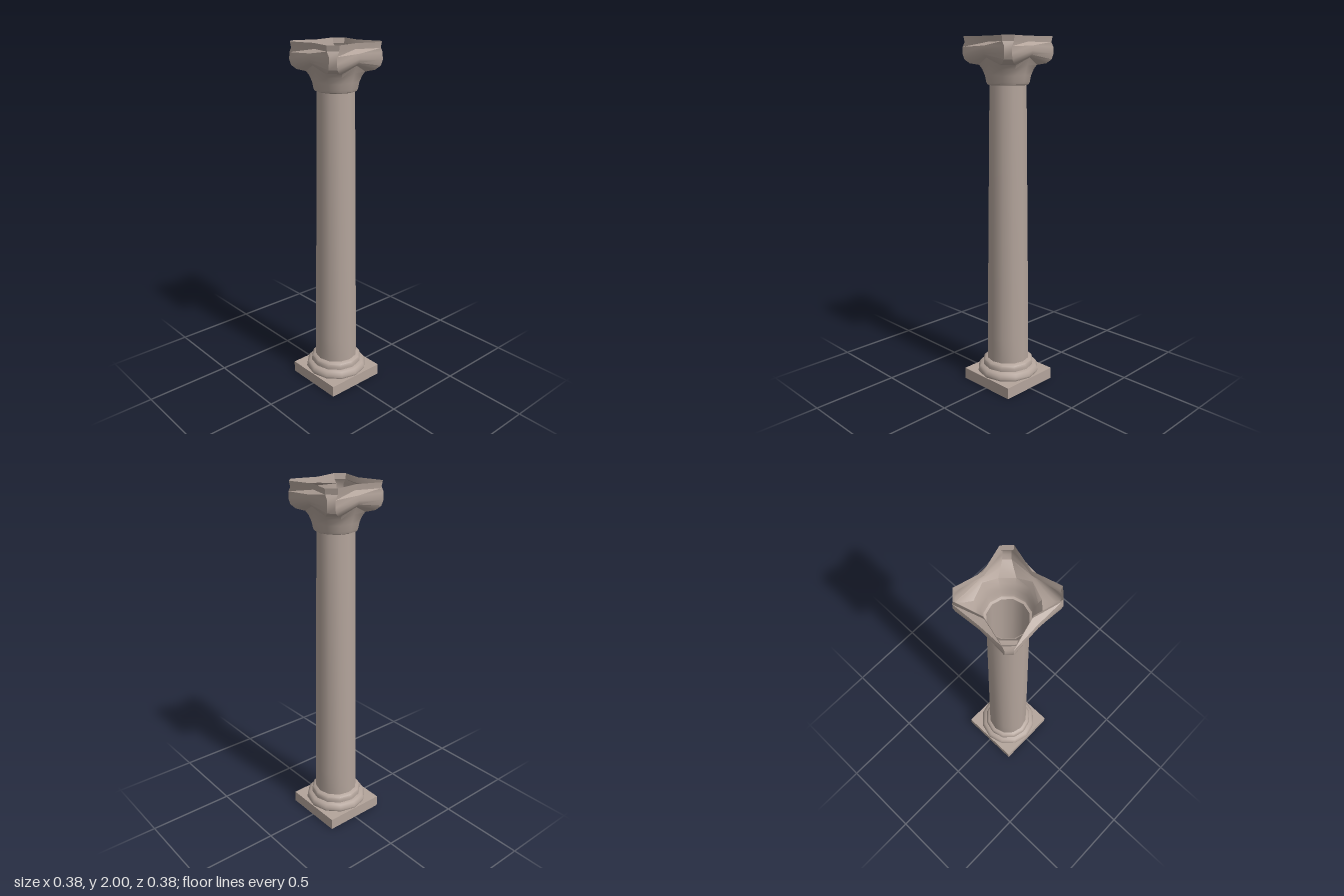
import * as THREE from 'three';
import { toCreasedNormals } from 'three/addons/utils/BufferGeometryUtils.js';

const SIDES = 12;
const CREASE = 0.66;

export function createModel() {
  const stone = new THREE.MeshStandardMaterial({ color: 0xb3a49b, side: THREE.DoubleSide });
  stone.name = 'warm grey stone';
  const column = new THREE.Group();
  column.name = 'column';

  const add = (name, geometry, crease = CREASE) => {
    const mesh = new THREE.Mesh(toCreasedNormals(geometry, crease), stone);
    mesh.name = name;
    column.add(mesh);
  };
  const lathe = (profile) =>
    new THREE.LatheGeometry(profile.map(([r, y]) => new THREE.Vector2(r, y)), SIDES);

  // Square plinth, open underneath, with a round opening in its top
  const half = 0.183, plinthTop = 0.066;
  const walls = new THREE.CylinderGeometry(half * Math.SQRT2, half * Math.SQRT2, plinthTop, 4, 1, true, Math.PI / 4);
  walls.translate(0, plinthTop / 2, 0);
  add('plinthWalls', walls);

  const top = new THREE.Shape([[-1, -1], [1, -1], [1, 1], [-1, 1]].map(([x, y]) => new THREE.Vector2(x * half, y * half)));
  const hole = [];
  for (let i = 0; i < SIDES; i++) {
    const t = (i / SIDES) * Math.PI * 2;
    hole.push(new THREE.Vector2(Math.cos(t) * 0.178, Math.sin(t) * 0.178));
  }
  top.holes.push(new THREE.Path(hole));
  const plinthCap = new THREE.ShapeGeometry(top);
  plinthCap.rotateX(-Math.PI / 2).translate(0, plinthTop, 0);
  add('plinthTop', plinthCap);

  // Two rounded base mouldings
  add('lowerMoulding', lathe([[0.178, 0.066], [0.182, 0.075], [0.178, 0.092], [0.168, 0.105], [0.15, 0.111]]));
  add('upperMoulding', lathe([[0.15, 0.111], [0.15, 0.128], [0.145, 0.141], [0.135, 0.148], [0.125, 0.152]]));

  // Tapered hollow shaft
  add('shaft', lathe([[0.125, 0.152], [0.124, 0.3], [0.104, 1.745]]));

  // Flared bell; its upper edge arches up in the middle of each side
  const ringRow = (r, y, midY = y) => ({ mid: r, midY, d: r * Math.cos(Math.PI / 12), w: r * Math.sin(Math.PI / 12), y });
  add('capitalBell', loft([
    ringRow(0.104, 1.745), ringRow(0.116, 1.75), ringRow(0.122, 1.764),
    ringRow(0.128, 1.795, 1.8), ringRow(0.143, 1.83, 1.85), ringRow(0.16, 1.852, 1.89),
  ]));

  // Crown with four projecting truncated corners and bulging, hollowed sides
  add('capitalCrown', loft([
    ringRow(0.16, 1.852, 1.89),
    { mid: 0.165, midY: 1.895, d: 0.205, w: 0.03, y: 1.86 },
    { mid: 0.175, midY: 1.905, d: 0.234, w: 0.022, y: 1.88 },
    { mid: 0.183, midY: 1.925, d: 0.244, w: 0.02, y: 1.91 },
    { mid: 0.178, midY: 1.95, d: 0.242, w: 0.02, y: 1.945 },
    { mid: 0.146, midY: 1.97, d: 0.231, w: 0.03, y: 1.97 },
    { mid: 0.15, midY: 2.0, d: 0.237, w: 0.032, y: 2.0 },
  ]), 0.6);

  return column;
}

// Joins twelve-point rows: mid is the side's centre radius, d the diagonal
// reach of each corner and w half the width of that corner
function loft(rows) {
  const points = [], index = [];
  rows.forEach((row) => {
    for (let q = 0; q < 4; q++) {
      const t = (q * Math.PI) / 2, g = t + Math.PI / 4;
      points.push(Math.cos(t) * row.mid, row.midY, Math.sin(t) * row.mid);
      for (const s of [-1, 1]) {
        points.push(
          Math.cos(g) * row.d - Math.sin(g) * row.w * s, row.y,
          Math.sin(g) * row.d + Math.cos(g) * row.w * s);
      }
    }
  });
  for (let r = 0; r < rows.length - 1; r++) {
    for (let i = 0; i < SIDES; i++) {
      const a = r * SIDES + i, b = r * SIDES + ((i + 1) % SIDES);
      index.push(a, a + SIDES, b, b, a + SIDES, b + SIDES);
    }
  }
  const geometry = new THREE.BufferGeometry();
  geometry.setAttribute('position', new THREE.Float32BufferAttribute(points, 3));
  geometry.setIndex(index);
  geometry.computeVertexNormals();
  return geometry;
}
